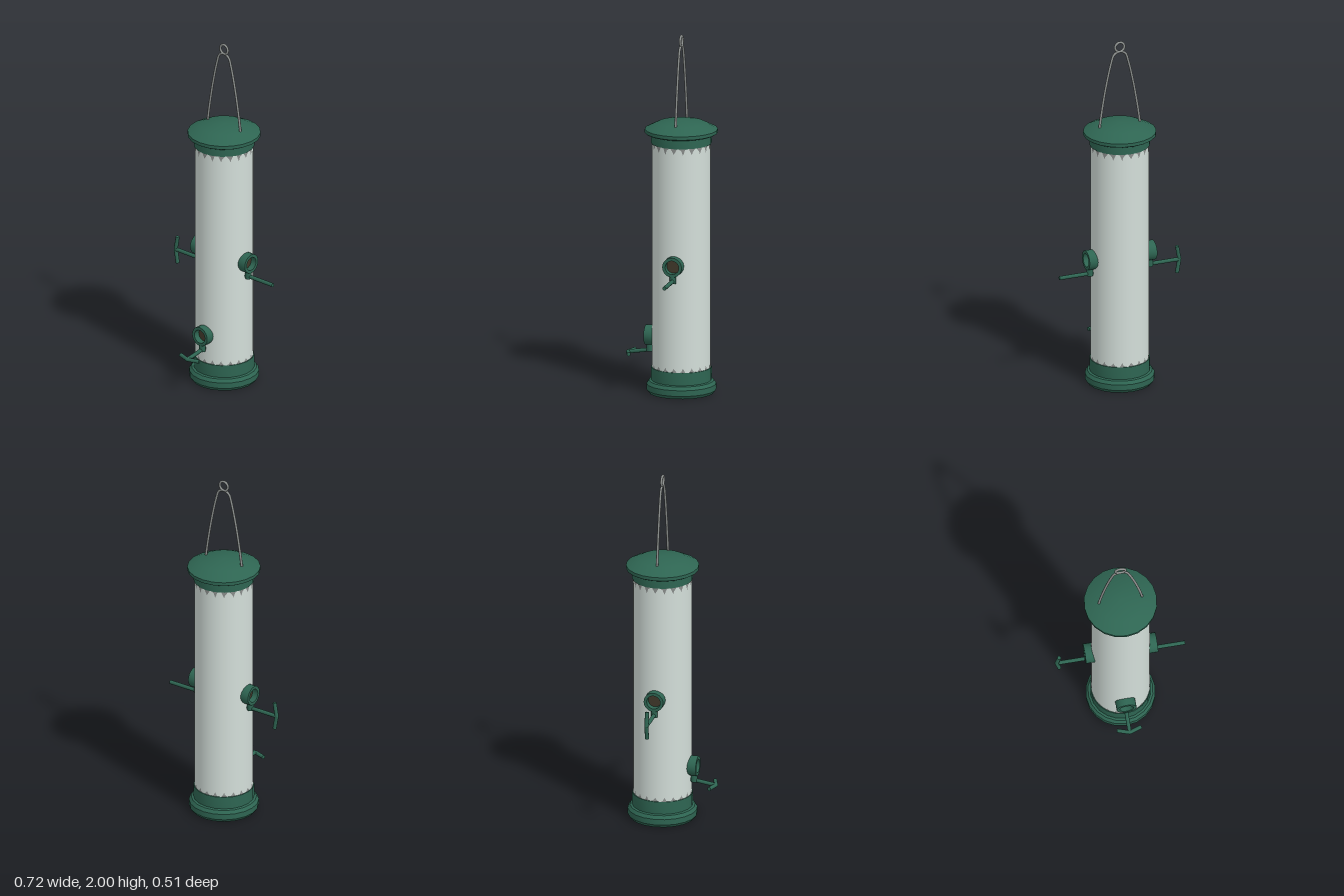
import * as THREE from 'three';
import { toCreasedNormals } from 'three/addons/utils/BufferGeometryUtils.js';

const paint = (color) => new THREE.MeshStandardMaterial({ color, side: THREE.DoubleSide });
const green = paint(0x2e6552);
const clear = paint(0xd3ded9);
const grey = paint(0x8c908e);
const seedBrown = paint(0x40382a);

function add(parent, name, geometry, material) {
  const mesh = new THREE.Mesh(geometry, material);
  mesh.name = name;
  parent.add(mesh);
  return mesh;
}

// Turned part from [radius, height] pairs
function turned(profile, sides = 20) {
  const points = profile.map(([r, y]) => new THREE.Vector2(r, y));
  return toCreasedNormals(new THREE.LatheGeometry(points, sides), 0.5);
}

// Straight round rod between two points
function rod(parent, name, a, b, radius) {
  const from = new THREE.Vector3(...a), to = new THREE.Vector3(...b);
  const dir = to.clone().sub(from);
  const mesh = add(parent, name, new THREE.CylinderGeometry(radius, radius, dir.length(), 10), green);
  mesh.position.copy(from).add(to).multiplyScalar(0.5);
  mesh.quaternion.setFromUnitVectors(new THREE.Vector3(0, 1, 0), dir.normalize());
}

// Feeding port facing +z, with its perch; bar is 'none', 'flat' or 'upright'
function feedingPort(name, y, angle, { drop, bar, tip }) {
  const port = new THREE.Group();
  port.name = name;
  port.position.y = y;
  port.rotation.y = angle;

  const ring = add(port, 'portRing', turned([
    [0.038, 0.145], [0.038, 0.2], [0.055, 0.2], [0.055, 0.145], [0.038, 0.145],
  ]), green);
  ring.rotation.x = Math.PI / 2;

  const opening = add(port, 'portOpening', new THREE.CircleGeometry(0.04, 20), seedBrown);
  opening.position.z = 0.165;

  // Short neck that carries the perch under the ring
  const neck = add(port, 'perchNeck', new THREE.CylinderGeometry(0.018, 0.018, 0.045, 10), green);
  neck.position.set(0, -0.07, 0.178);

  const end = [0, -0.08 - drop, tip];
  rod(port, 'perch', [0, -0.08, 0.155], end, 0.011);
  if (bar !== 'none') {
    for (const s of [-1, 1]) {
      const arm = bar === 'flat'
        ? [s * 0.067, end[1], tip - 0.022]
        : [0, end[1] + s * 0.078, tip - 0.014];
      rod(port, 'perchArm', end, arm, 0.011);
    }
    const joint = add(port, 'perchJoint', new THREE.SphereGeometry(0.011, 10, 8), green);
    joint.position.set(...end);
  }
  return port;
}

export function createModel() {
  const model = new THREE.Group();
  model.name = 'birdFeeder';
  const feeder = new THREE.Group();
  feeder.name = 'feeder';
  feeder.position.set(0.003, 0, -0.057);
  model.add(feeder);

  // Seed tube, with faceted sleeves whose corners just break through at each end
  const tube = add(feeder, 'seedTube', new THREE.CylinderGeometry(0.16, 0.16, 1.34, 48, 1, true), clear);
  tube.position.y = 0.75;
  const upper = add(feeder, 'upperSleeve', new THREE.CylinderGeometry(0.1625, 0.157, 0.1, 20, 1, true), grey);
  upper.position.y = 1.36;
  const lower = add(feeder, 'lowerSleeve', new THREE.CylinderGeometry(0.158, 0.1625, 0.06, 20, 1, true), grey);
  lower.position.y = 0.16;

  // Base with a stepped foot
  add(feeder, 'base', turned([
    [0, 0], [0.178, 0], [0.191, 0.018], [0.191, 0.05], [0.178, 0.068],
    [0.166, 0.072], [0.166, 0.143], [0.155, 0.143],
  ]), green);

  // Domed lid with overhanging brim and collar
  add(feeder, 'lid', turned([
    [0.152, 1.397], [0.166, 1.397], [0.166, 1.45], [0.19, 1.45],
    [0.2, 1.456], [0.2, 1.475], [0.13, 1.51], [0, 1.526],
  ]), green);

  // Ports and perches
  feeder.add(
    feedingPort('frontPort', 0.31, 0, { drop: 0.022, bar: 'flat', tip: 0.301 }),
    feedingPort('leftPort', 0.74, Math.PI / 2, { drop: 0, bar: 'none', tip: 0.357 }),
    feedingPort('rightPort', 0.74, -Math.PI / 2, { drop: 0, bar: 'upright', tip: 0.353 }),
  );

  // Wire hanger and its eye
  const wire = new THREE.CatmullRomCurve3([
    [-0.122, 1.49], [-0.108, 1.59], [-0.08, 1.75], [-0.05, 1.88], [-0.034, 1.925], [0, 1.94],
    [0.034, 1.925], [0.05, 1.88], [0.08, 1.75], [0.108, 1.59], [0.122, 1.49],
  ].map(([x, y]) => new THREE.Vector3(x, y, 0)));
  add(feeder, 'hangerWire', new THREE.TubeGeometry(wire, 60, 0.007, 8), grey);
  const eye = add(feeder, 'hangerEye', new THREE.TorusGeometry(0.027, 0.007, 8, 24), grey);
  eye.position.y = 1.966;

  return model;
}
